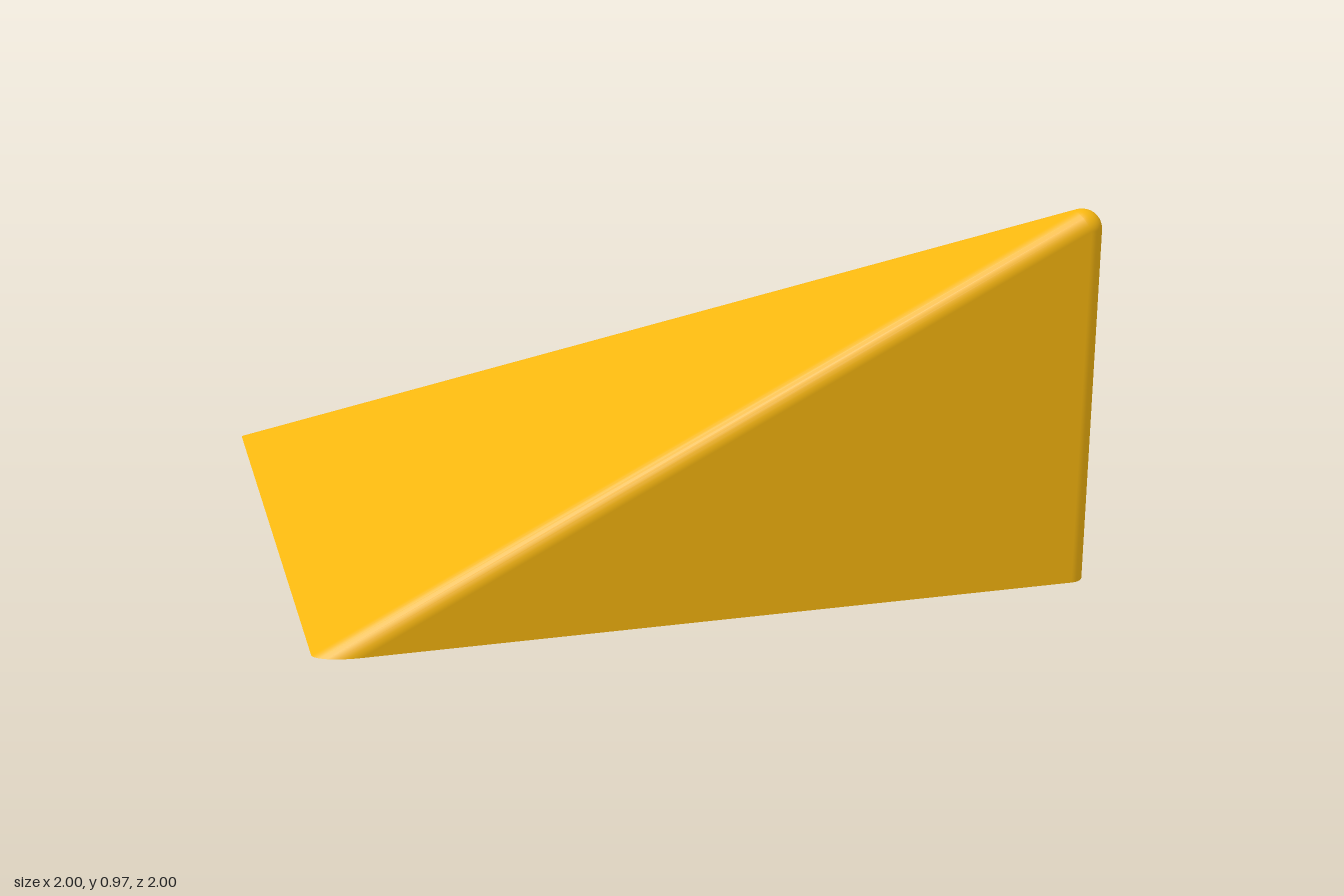
import * as THREE from 'three';

const HALF = 1, INNER = 0.92; // half width of the outer skin and of the hollow
const ARC = 8, CAP = 6;       // steps around each rounded edge and over the tip

// Face normals of the corner pyramid, counterclockwise from above: two upright, two sloped
const faces = [[1, 0, 0], [0, 2, -1], [-1, 2, 0], [0, 0, 1]]
  .map((n) => new THREE.Vector3(...n).normalize());
// Direction of the edge after each face, falling one unit
const edges = [[0, -1, -2], [-2, -1, -2], [-2, -1, 0], [0, -1, 0]]
  .map((d) => new THREE.Vector3(...d));

function makeGeometry(positions, normals, index) {
  const g = new THREE.BufferGeometry();
  g.setAttribute('position', new THREE.Float32BufferAttribute(positions, 3));
  g.setAttribute('normal', new THREE.Float32BufferAttribute(normals, 3));
  g.setIndex(index);
  return g;
}

// Pyramid skin with edges rounded by radius r; inward skins face the hollow
function skin(half, r, inward) {
  const tip = new THREE.Vector3(half - r, half - r * (1 + Math.sqrt(5)) / 2, half - r);
  const ring = [], bottom = [], positions = [], normals = [], index = [];
  const add = (p, n) => {
    positions.push(p.x, p.y, p.z);
    const s = inward ? -1 : 1;
    normals.push(n.x * s, n.y * s, n.z * s);
  };
  // base row: slide each edge arc down to the ground
  faces.forEach((a, e) => {
    for (let i = 0; i <= ARC; i++) {
      const n = a.clone().lerp(faces[(e + 1) % 4], i / ARC).normalize();
      const p = tip.clone().addScaledVector(n, r);
      p.addScaledVector(edges[e], p.y);
      ring.push(n);
      bottom.push(p);
      add(p, n);
    }
  });
  // rows closing over the rounded tip
  const middle = faces.reduce((s, n) => s.add(n), new THREE.Vector3()).normalize();
  for (let j = 0; j <= CAP; j++) {
    for (const n0 of ring) {
      const n = n0.clone().lerp(middle, j / CAP).normalize();
      add(tip.clone().addScaledVector(n, r), n);
    }
  }
  const count = ring.length;
  for (let j = 0; j <= CAP; j++) {
    for (let i = 0; i < count; i++) {
      const k = (i + 1) % count, a = j * count + i, b = j * count + k;
      const c = b + count, d = a + count;
      if (inward) index.push(a, c, b, a, d, c);
      else index.push(a, b, c, a, c, d);
    }
  }
  return { geometry: makeGeometry(positions, normals, index), bottom };
}

// Flat underside between the two skins
function rim(outer, inner) {
  const positions = [], normals = [], index = [], count = outer.length;
  [...outer, ...inner].forEach((p) => {
    positions.push(p.x, 0, p.z);
    normals.push(0, -1, 0);
  });
  for (let i = 0; i < count; i++) {
    const k = (i + 1) % count;
    index.push(i, i + count, k, k, i + count, k + count);
  }
  return makeGeometry(positions, normals, index);
}

// Upright tube wall whose top follows the sloped ceiling
function tubeWall(radius, x, z) {
  const g = new THREE.CylinderGeometry(radius, radius, 1, 16, 1, true);
  g.translate(x, 0.5, z);
  const p = g.attributes.position;
  for (let i = 0; i < p.count; i++) {
    if (p.getY(i) > 0.5) p.setY(i, (Math.min(p.getX(i), p.getZ(i)) + INNER) / 2 + 0.01);
  }
  return g;
}

export function createModel() {
  const model = new THREE.Group();
  const material = new THREE.MeshStandardMaterial({ color: 0xf5b50f });
  const twoSided = new THREE.MeshStandardMaterial({ color: 0xf5b50f, side: THREE.DoubleSide });
  const add = (parent, name, geometry, mat = material) => {
    const mesh = new THREE.Mesh(geometry, mat);
    mesh.name = name;
    parent.add(mesh);
  };

  // hollow shell
  const outer = skin(HALF, 0.05, false);
  const inner = skin(INNER, 0.004, true);
  add(model, 'outerShell', outer.geometry);
  add(model, 'innerShell', inner.geometry);
  add(model, 'bottomRim', rim(outer.bottom, inner.bottom));

  // four tubes hanging from the ceiling
  for (const x of [-0.5, 0.5]) {
    for (const z of [-0.5, 0.5]) {
      const tube = new THREE.Group();
      tube.name = 'tube';
      add(tube, 'tubeOuterWall', tubeWall(0.2, x, z));
      add(tube, 'tubeInnerWall', tubeWall(0.155, x, z), twoSided);
      const ring = new THREE.RingGeometry(0.155, 0.2, 16);
      ring.rotateX(Math.PI / 2).translate(x, 0, z);
      add(tube, 'tubeRim', ring);
      model.add(tube);
    }
  }
  return model;
}
